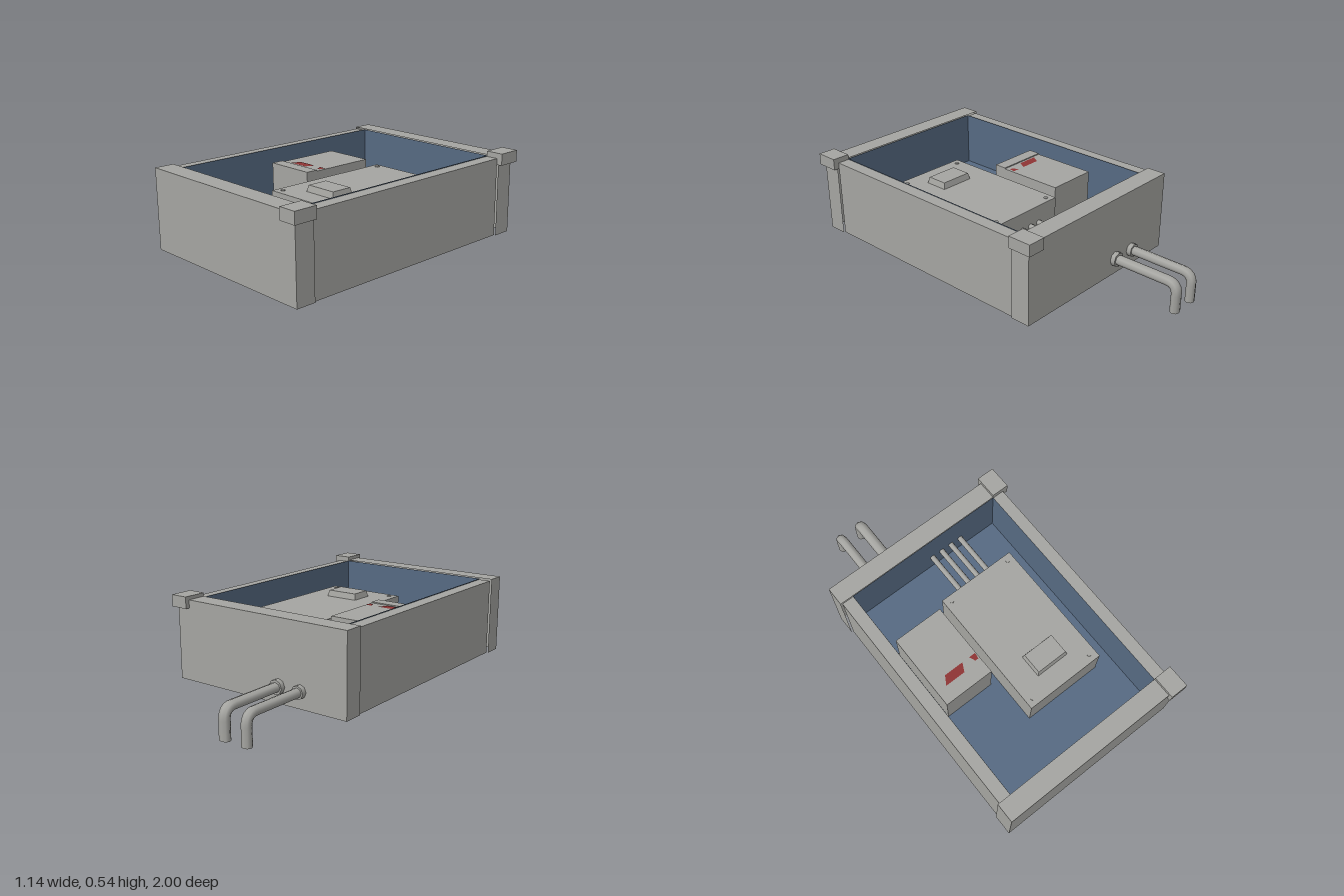
import * as THREE from 'three';

const mat = (name, color, side = THREE.DoubleSide) => {
  const m = new THREE.MeshStandardMaterial({ color, side });
  m.name = name;
  return m;
};

export function createModel() {
  const model = new THREE.Group();
  model.name = 'equipmentTray';
  const grey = mat('grey metal', 0xa5a5a1);
  const blue = mat('blue lining', 0x566a82);
  const red = mat('red label', 0x8e3434);

  const add = (name, geometry, material, parent = model) => {
    const mesh = new THREE.Mesh(geometry, material);
    mesh.name = name;
    parent.add(mesh);
    return mesh;
  };

  // Box between limits, keeping only the listed faces (0..5 = +x -x +y -y +z -z)
  const box = (x0, x1, y0, y1, z0, z1, faces = [0, 1, 2, 3, 4, 5]) => {
    const g = new THREE.BoxGeometry(x1 - x0, y1 - y0, z1 - z0);
    g.translate((x0 + x1) / 2, (y0 + y1) / 2, (z0 + z1) / 2);
    const index = Array.from(g.index.array);
    g.setIndex(faces.flatMap((f) => index.slice(f * 6, f * 6 + 6)));
    g.clearGroups();
    return g;
  };

  // Hollow outer walls, open underneath
  add('frontWall', box(-0.57, 0.545, 0.07, 0.52, 0.87, 0.98, [0, 1, 2, 4]), grey);
  add('backWall', box(-0.57, 0.545, 0.07, 0.52, -0.58, -0.47, [0, 1, 2, 5]), grey);
  add('leftWall', box(0.465, 0.535, 0.07, 0.51, -0.47, 0.87, [0, 2]), grey);
  add('rightWall', box(-0.56, -0.49, 0.07, 0.51, -0.47, 0.87, [1, 2]), grey);

  // Blue lining
  add('innerLining', box(-0.49, 0.465, 0.2, 0.515, -0.47, 0.87, [0, 1, 4, 5]), blue);

  // Floor with openings below the two housings
  const rect = (Type, x0, x1, z0, z1) =>
    new Type([[x0, z0], [x1, z0], [x1, z1], [x0, z1]].map(([x, z]) => new THREE.Vector2(x, -z)));
  const floorShape = rect(THREE.Shape, -0.49, 0.465, -0.47, 0.87);
  floorShape.holes.push(
    rect(THREE.Path, -0.11, 0.36, -0.19, 0.58),
    rect(THREE.Path, -0.45, -0.155, -0.15, 0.3),
  );
  const floor = new THREE.ShapeGeometry(floorShape);
  floor.rotateX(-Math.PI / 2).translate(0, 0.2, 0);
  add('floor', floor, blue);

  // Corner caps along the left side
  for (const [z0, z1] of [[0.87, 1], [-0.605, -0.47]]) {
    add('cornerCap', box(0.465, 0.567, 0.475, 0.54, z0, z1), grey);
  }

  // Large housing, open underneath, with a tapered hatch and corner screws
  const large = new THREE.Group();
  large.name = 'largeHousing';
  model.add(large);
  add('housingShell', box(-0.11, 0.36, 0.2, 0.41, -0.19, 0.58, [0, 1, 2, 4, 5]), grey, large);
  const hatch = box(0.03, 0.23, 0.41, 0.445, 0.33, 0.465, [0, 1, 2, 4, 5]);
  const p = hatch.attributes.position;
  for (let i = 0; i < p.count; i++) {
    if (p.getY(i) < 0.43) continue;
    p.setX(i, 0.13 + (p.getX(i) - 0.13) * 0.92);
    p.setZ(i, 0.3975 + (p.getZ(i) - 0.3975) * 0.88);
  }
  hatch.computeVertexNormals();
  add('hatch', hatch, grey, large);
  for (const x of [-0.07, 0.32]) {
    for (const z of [-0.155, 0.54]) {
      const screw = new THREE.CylinderGeometry(0.012, 0.012, 0.004, 8);
      add('screw', screw.translate(x, 0.412, z), grey, large);
    }
  }

  // Small housing with a shallow front step and red label patches
  const small = new THREE.Group();
  small.name = 'smallHousing';
  model.add(small);
  add('housingShell', box(-0.45, -0.155, 0.2, 0.44, -0.15, 0.3, [0, 1, 2, 4, 5]), grey, small);
  add('frontStep', box(-0.45, -0.155, 0.44, 0.446, 0.23, 0.3, [0, 1, 2, 4, 5]), grey, small);
  const patches = [
    [[-0.39, 0.215], [-0.27, 0.215], [-0.245, 0.165], [-0.36, 0.165]],
    [[-0.185, 0.2], [-0.165, 0.2], [-0.16, 0.165], [-0.2, 0.165]],
  ];
  for (const patch of patches) {
    const g = new THREE.ShapeGeometry(new THREE.Shape(patch.map(([x, z]) => new THREE.Vector2(x, -z))));
    add('redLabel', g.rotateX(-Math.PI / 2).translate(0, 0.443, 0), red, small);
  }

  // Conduits between the large housing and the back wall
  for (const x of [0.03, 0.095, 0.16, 0.225]) {
    const g = new THREE.CylinderGeometry(0.016, 0.016, 0.28, 8);
    add('conduit', g.rotateX(Math.PI / 2).translate(x, 0.31, -0.33), grey);
  }

  // Bent outlet pipes with collars at the back
  for (const [x, r] of [[-0.287, 0.028], [-0.148, 0.032]]) {
    const path = new THREE.CurvePath();
    const v = (y, z) => new THREE.Vector3(x, y, z);
    const end = -1 + 0.026;
    path.add(new THREE.LineCurve3(v(0.163, -0.58), v(0.163, -0.915)));
    path.add(new THREE.QuadraticBezierCurve3(v(0.163, -0.915), v(0.163, end), v(0.105, end)));
    path.add(new THREE.LineCurve3(v(0.105, end), v(0, end)));
    const pipe = new THREE.TubeGeometry(path, 32, 0.026, 8);
    pipe.translate(-x, 0, 0).scale(r / 0.026, 1, 1).translate(x, 0, 0);
    add('outletPipe', pipe, grey);
    const tip = new THREE.CircleGeometry(0.026, 8).rotateX(Math.PI / 2);
    add('pipeEnd', tip.scale(r / 0.026, 1, 1).translate(x, 0, end), grey);
    const collar = new THREE.CylinderGeometry(r + 0.009, r + 0.009, 0.03, 8);
    add('pipeCollar', collar.rotateX(Math.PI / 2).translate(x, 0.163, -0.592), grey);
  }

  return model;
}
